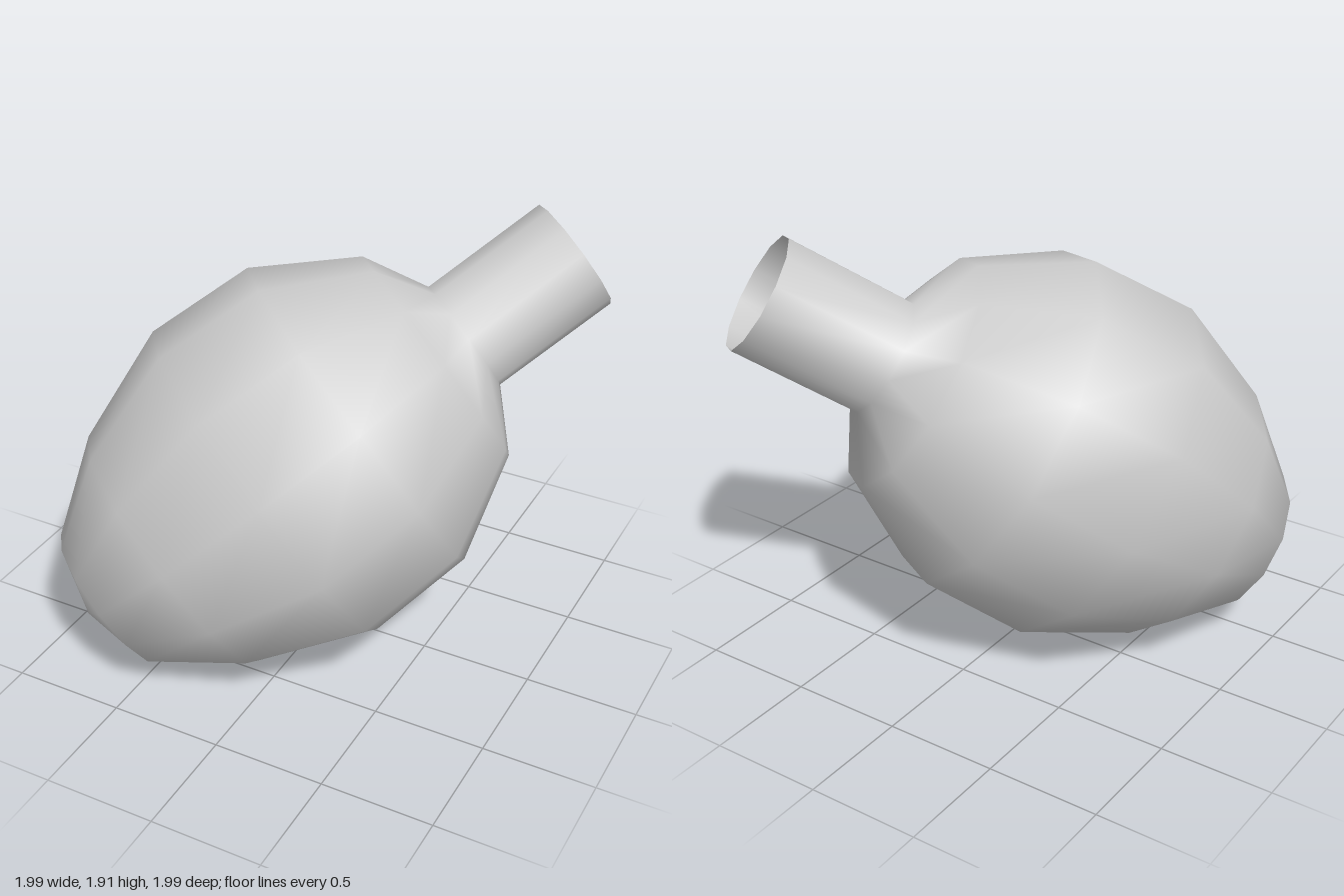
import * as THREE from 'three';

export function createModel() {
  const model = new THREE.Group();

  // Half profile along the flask's axis: [radius, distance from the open rim]
  const profile = [
    [0, -2.63], [0.35, -2.51], [0.62, -2.15], [0.815, -1.65],
    [0.79, -1.16], [0.535, -0.735], [0.262, -0.585], [0.262, 0],
  ].map(([r, d]) => new THREE.Vector2(r, d));

  // Rounded body and open neck, turned as one smooth twelve-sided surface
  const flask = new THREE.Mesh(
    new THREE.LatheGeometry(profile, 12),
    new THREE.MeshStandardMaterial({ color: 0xcccccc, side: THREE.DoubleSide })
  );
  flask.name = 'flaskBodyAndNeck';

  // Tilt the axis so the neck points up, to the left and backwards
  const axis = new THREE.Vector3(0.9, 0.82, -0.9).normalize();
  const across = new THREE.Vector3(1, 0, 1).normalize();
  const third = new THREE.Vector3().crossVectors(across, axis);
  flask.quaternion.setFromRotationMatrix(new THREE.Matrix4().makeBasis(across, axis, third));
  flask.position.set(0.787, 1.683, -0.787);

  model.add(flask);
  return model;
}
